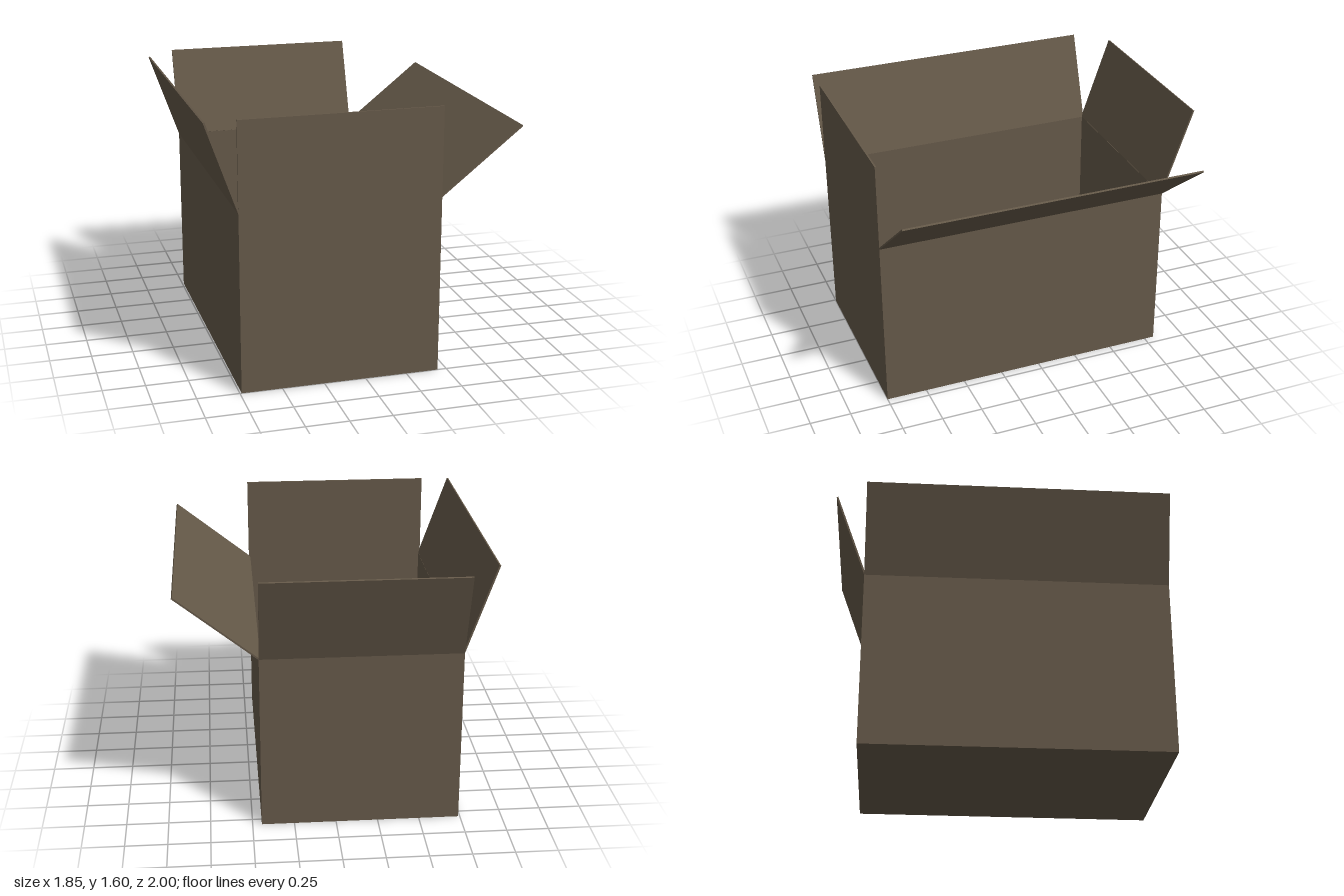
import * as THREE from 'three';

// Open carton: floor, four walls and four flaps folded out from the rim.
export function createModel() {
  const group = new THREE.Group();
  group.name = 'openBox';
  const cardboard = new THREE.MeshStandardMaterial({ color: 0x645848 });
  cardboard.name = 'cardboard';

  const x0 = -0.74, x1 = 0.445, z0 = -0.812, z1 = 1.0, rim = 1.07, t = 0.01;
  const cx = (x0 + x1) / 2, cz = (z0 + z1) / 2, w = x1 - x0, d = z1 - z0;

  function panel(name, sx, sy, sz, x, y, z) {
    const geometry = new THREE.BoxGeometry(sx, sy, sz);
    geometry.translate(0, sy / 2, 0); // pivot on the lower edge
    const mesh = new THREE.Mesh(geometry, cardboard);
    mesh.name = name;
    mesh.position.set(x, y, z);
    group.add(mesh);
    return mesh;
  }

  // Floor and walls
  panel('floor', w, t, d, cx, 0, cz);
  panel('leftWall', t, rim, d, x1 - t / 2, 0, cz);
  panel('rightWall', t, rim, d, x0 + t / 2, 0, cz);
  panel('frontWall', w, rim, t, cx, 0, z1 - t / 2);
  panel('backWall', w, rim, t, cx, 0, z0 + t / 2);

  // Flaps: "out" and "up" run from the hinge to the free edge
  function sideFlap(name, hinge, out, up) {
    const flap = panel(name, t, Math.hypot(out, up), d, hinge, rim, cz);
    flap.rotation.z = -Math.atan2(out, up);
  }
  function endFlap(name, hinge, out, up) {
    const flap = panel(name, w, Math.hypot(out, up), t, cx, rim, hinge);
    flap.rotation.x = Math.atan2(out, up);
  }
  sideFlap('leftFlap', x1 - t / 2, 0.482, 0.385);
  sideFlap('rightFlap', x0 + t / 2, -0.185, 0.527);
  endFlap('backFlap', z0 + t / 2, -0.186, 0.528);
  endFlap('frontFlap', z1 - t / 2, 0, 0.53);

  return group;
}
